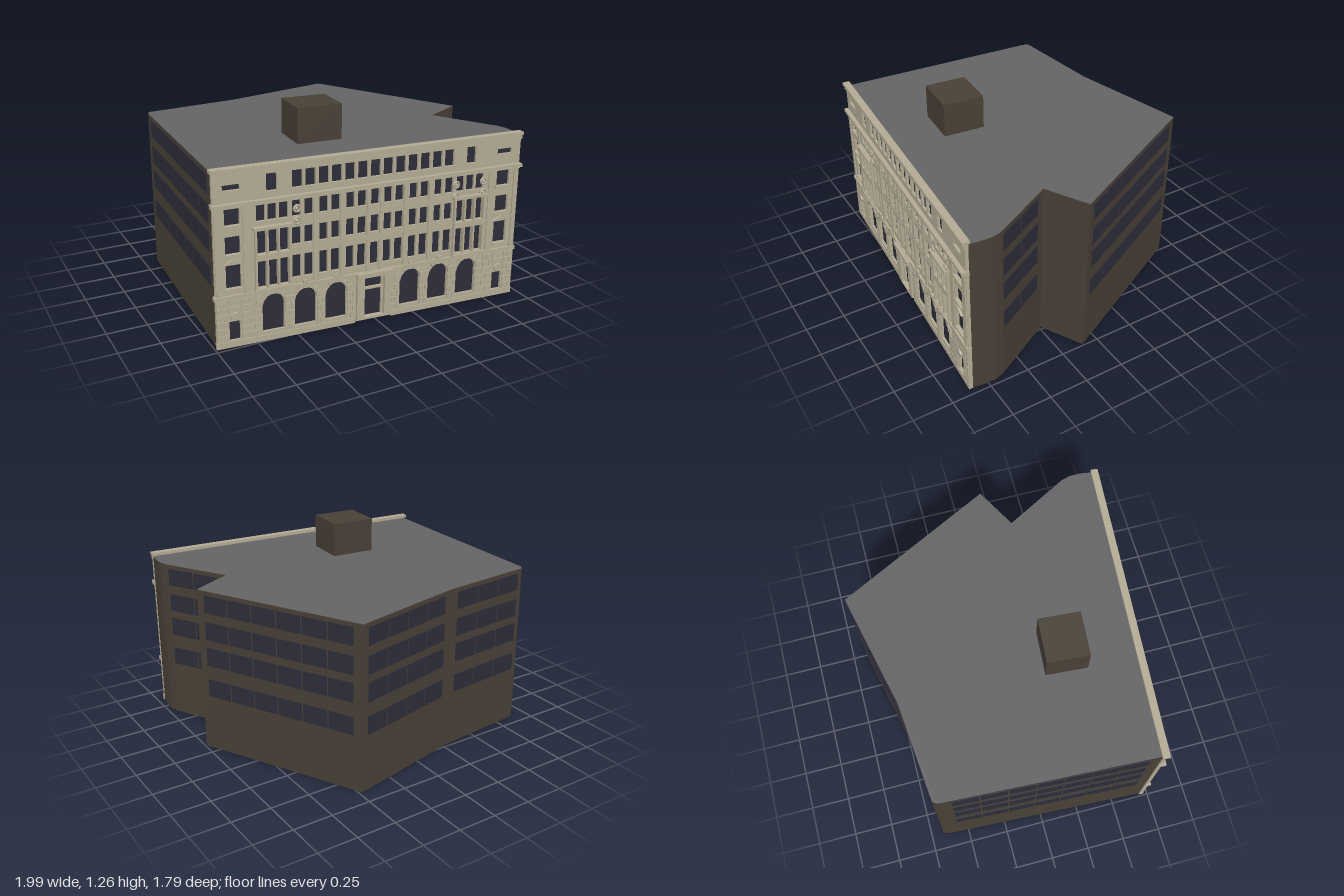
import * as THREE from 'three';

const mat = (name, color) => Object.assign(new THREE.MeshStandardMaterial({ color }), { name });

export function createModel() {
  const stone = mat('pale stone', 0xb3aa94);
  const brown = mat('dark brown wall', 0x484036);
  const grey = mat('grey roof', 0x636365);
  const glass = mat('dark glass', 0x2d2d3a);

  const model = new THREE.Group();
  model.name = 'cornerBuilding';
  const add = (parent, name, geo, material) => {
    const m = new THREE.Mesh(geo, material);
    m.name = name;
    parent.add(m);
    return m;
  };

  // Irregular footprint as x, z corners
  const plan = [[-0.98, 0.697], [0.955, 0.845], [0.967, 0.77], [0.967, 0.70], [0.95, 0.64], [0.73, 0.24],
    [0.99, 0.10], [0.48, -0.90], [-0.27, -0.73], [-0.89, -0.67], [-0.907, -0.645], [-0.91, -0.62]];
  const outline = new THREE.Shape(plan.map(([x, z]) => new THREE.Vector2(x, -z)));
  const bodyGeo = new THREE.ExtrudeGeometry(outline, { depth: 1.045, bevelEnabled: false });
  add(model, 'body', bodyGeo.rotateX(-Math.PI / 2), brown);
  const roof = add(model, 'roof', new THREE.ShapeGeometry(outline).rotateX(-Math.PI / 2), grey);
  roof.position.y = 1.048;

  // Rooftop plant room
  const hut = add(model, 'plantRoom', new THREE.BoxGeometry(0.283, 0.22, 0.262), brown);
  hut.position.set(-0.187, 1.155, 0.31);
  hut.rotation.y = -0.076;

  // Rows of plain windows on the side and rear walls
  const rows = [[0.36, 0.475], [0.565, 0.685], [0.735, 0.85], [0.91, 1.02]];
  function wallWindows(name, [ax, az], [bx, bz], t0, t1, n) {
    const wall = new THREE.Group();
    wall.name = name;
    wall.position.set(ax, 0, az);
    wall.rotation.y = -Math.atan2(bz - az, bx - ax);
    const len = Math.hypot(bx - ax, bz - az);
    const step = len * (t1 - t0) / n;
    for (const [y0, y1] of rows) for (let i = 0; i < n; i++) {
      const w = add(wall, 'sideWindow', new THREE.BoxGeometry(step - 0.01, y1 - y0, 0.008), glass);
      w.position.set(len * t0 + step * (i + 0.5), (y0 + y1) / 2, 0);
    }
    model.add(wall);
  }
  wallWindows('rightRearWindows', plan[6], plan[7], 0.04, 0.95, 6);
  wallWindows('rightFrontWindows', plan[4], plan[5], 0.02, 0.87, 2);
  wallWindows('backLeftSideWindows', plan[7], plan[8], 0.05, 0.93, 4);
  wallWindows('backRightSideWindows', plan[8], plan[9], 0.08, 0.95, 3);
  wallWindows('leftWindows', plan[11], plan[0], 0.04, 0.95, 7);

  // Slightly turned stone front, laid out around its own centre line
  const front = new THREE.Group();
  front.name = 'facade';
  front.position.set(-0.015, 0, 0.771);
  front.rotation.y = -0.0763;
  model.add(front);

  const bar = (name, x0, x1, y0, y1, z0, z1, m = stone) => {
    const b = add(front, name, new THREE.BoxGeometry(x1 - x0, y1 - y0, z1 - z0), m);
    b.position.set((x0 + x1) / 2, (y0 + y1) / 2, (z0 + z1) / 2);
    return b;
  };
  const rect = (x, w, y0, y1, T = THREE.Path) => new T([[-1, y0], [1, y0], [1, y1], [-1, y1]]
    .map(([s, y]) => new THREE.Vector2(x + s * w / 2, y)));
  const arch = (x, r, y0, ys) => {
    const p = new THREE.Path();
    p.moveTo(x - r, y0);
    p.lineTo(x + r, y0);
    p.lineTo(x + r, ys);
    p.absarc(x, ys, r, 0, Math.PI, false);
    p.closePath();
    return p;
  };
  const panel = (name, shape, holes, z0, depth) => {
    shape.holes = holes;
    const g = new THREE.ExtrudeGeometry(shape, { depth, bevelEnabled: false, curveSegments: 12 });
    add(front, name, g, stone).position.z = z0;
  };
  const both = (f) => [-1, 1].forEach(f);

  // Window openings
  const holes = [];
  const archX = [0.243, 0.436, 0.633];
  const floors = [[0.365, 0.505], [0.57, 0.675], [0.74, 0.838]];
  const cols = [0.083, 0.158, 0.249, 0.324, 0.414, 0.489];
  const bayX = 0.633;
  const bayHoles = (s) => [-0.067, 0, 0.067].flatMap((o) => [
    rect(s * bayX + o, 0.056, 0.34, 0.508), rect(s * bayX + o, 0.056, 0.545, 0.69)]);
  for (let k = -6; k <= 6; k++) holes.push(rect(k * 0.0805, 0.062, 0.91, 1.012));
  for (const [y0, y1] of floors) holes.push(rect(0, 0.053, y0, y1));
  both((s) => {
    holes.push(rect(s * bayX, 0.062, 0.91, 1.012), rect(s * 0.865, 0.1, 0.942, 0.975));
    for (const [y0, y1] of floors) {
      for (const x of cols) holes.push(rect(s * x, 0.053, y0, y1));
      holes.push(rect(s * 0.865, 0.088, y0, y1));
    }
    for (const o of [-0.067, 0, 0.067]) holes.push(rect(s * bayX + o, 0.053, 0.74, 0.838));
    holes.push(...bayHoles(s), rect(s * 0.865, 0.065, 0.04, 0.16));
    for (const x of archX) holes.push(arch(s * x, 0.066, 0.058, 0.225));
  });
  holes.push(rect(0, 0.135, 0.03, 0.285));
  panel('facadeWall', rect(0, 1.95, 0.005, 1.06, THREE.Shape), holes, 0, 0.02);
  bar('facadeGlass', -0.965, 0.965, 0.02, 1.03, 0, 0.004, glass);

  // Horizontal mouldings
  bar('parapetCap', -0.985, 0.98, 1.05, 1.07, -0.008, 0.038);
  bar('parapetBand', -0.978, 0.977, 1.025, 1.05, 0.015, 0.03);
  bar('mainCornice', -0.985, 0.982, 0.85, 0.872, 0, 0.046);
  bar('corniceBed', -0.978, 0.977, 0.84, 0.852, 0.015, 0.03);
  bar('stringCourse', -0.985, 0.98, 0.302, 0.325, 0, 0.034);
  both((s) => bar('plinth', Math.min(s * 0.118, s * 0.977), Math.max(s * 0.118, s * 0.977), 0, 0.036, 0, 0.026));
  for (const y of [0.54, 0.705]) bar('spandrelBand', -0.52, 0.52, y - 0.012, y + 0.012, 0.015, 0.023);

  // Piers between the window pairs and at the end bays
  both((s) => {
    for (const [x, w] of [[0.042, 0.024], [0.203, 0.034], [0.369, 0.034], [0.785, 0.045], [0.955, 0.03]])
      bar('pier', s * x - w / 2, s * x + w / 2, 0.325, 0.842, 0.015, 0.028);
  });

  both((s) => {
    // Projecting three-light bay with its own cornice
    const x = s * bayX;
    panel('bayFrame', rect(x, 0.216, 0.325, 0.70, THREE.Shape), bayHoles(s), 0.02, 0.018);
    bar('bayCornice', x - 0.118, x + 0.118, 0.695, 0.712, 0.015, 0.052);
    bar('baySill', x - 0.112, x + 0.112, 0.325, 0.336, 0.015, 0.046);

    // End bay pediment, sills and plaque
    const e = s * 0.865;
    const tri = new THREE.Shape([[-0.056, 0.518], [0.056, 0.518], [0, 0.545]]
      .map(([a, b]) => new THREE.Vector2(e + a, b)));
    panel('pediment', tri, [], 0.02, 0.014);
    for (const [y0] of floors) bar('endSill', e - 0.052, e + 0.052, y0 - 0.014, y0, 0.015, 0.03);
    const disc = add(front, 'plaque', new THREE.CylinderGeometry(0.024, 0.027, 0.012, 16), stone);
    disc.rotation.x = Math.PI / 2;
    disc.position.set(e, 0.195, 0.03);

    // Voussoirs fanning round each arch
    for (const ax of archX) for (let i = 0; i < 7; i++) {
      const a = Math.PI * (i + 0.5) / 7;
      const len = i === 3 ? 0.05 : 0.04;
      const v = add(front, 'voussoir', new THREE.BoxGeometry(len, 0.032, 0.012), stone);
      v.rotation.z = a;
      const r = 0.068 + len / 2;
      v.position.set(s * ax + r * Math.cos(a), 0.225 + r * Math.sin(a), 0.026 + (i % 2) * 0.002);
    }

    // Coursed rusticated blocks
    const spans = [[0.118, 0.174], [0.312, 0.367], [0.505, 0.564], [0.702, 0.825], [0.905, 0.975]];
    for (let c = 0; c < 6; c++) {
      const y = 0.042 + c * 0.043;
      spans.forEach(([a, b], i) => {
        if (i < 3 && c > 3) return;
        const start = i === 3 && c > 3 ? 0.755 : a;
        const cut = start + (b - start) * (c % 2 ? 0.38 : 0.62);
        for (const [p, q] of [[start, cut], [cut, b]]) {
          const l = p + 0.002, r = q - 0.002;
          bar('stoneBlock', s > 0 ? l : -r, s > 0 ? r : -l, y, y + 0.038, 0.018, 0.027);
        }
      });
    }
    for (let c = 0; c < 2; c++) bar('lintelBlock', e - 0.036, e + 0.036, 0.215 + c * 0.043, 0.253 + c * 0.043, 0.018, 0.027);
  });

  // Round ornaments beside the bays
  for (const x of [-0.49, 0.53, 0.72]) for (const y of [0.79, 0.717]) {
    const ring = add(front, 'roundel', new THREE.TorusGeometry(0.019, 0.007, 6, 16), stone);
    ring.position.set(x, y, 0.032);
    const boss = add(front, 'roundelBoss', new THREE.SphereGeometry(0.011, 10, 6), stone);
    boss.position.set(x, y, 0.03);
  }

  // Entrance surround, canopy and transom
  panel('doorSurround', rect(0, 0.225, 0.02, 0.305, THREE.Shape), [rect(0, 0.135, 0.03, 0.285)], 0.02, 0.018);
  bar('doorCanopy', -0.12, 0.12, 0.295, 0.322, 0.015, 0.055);
  bar('doorTransom', -0.068, 0.068, 0.205, 0.218, 0.004, 0.022);
  both((s) => bar('doorJamb', s * 0.06 - 0.006, s * 0.06 + 0.006, 0.03, 0.285, 0.004, 0.018));

  return model;
}
